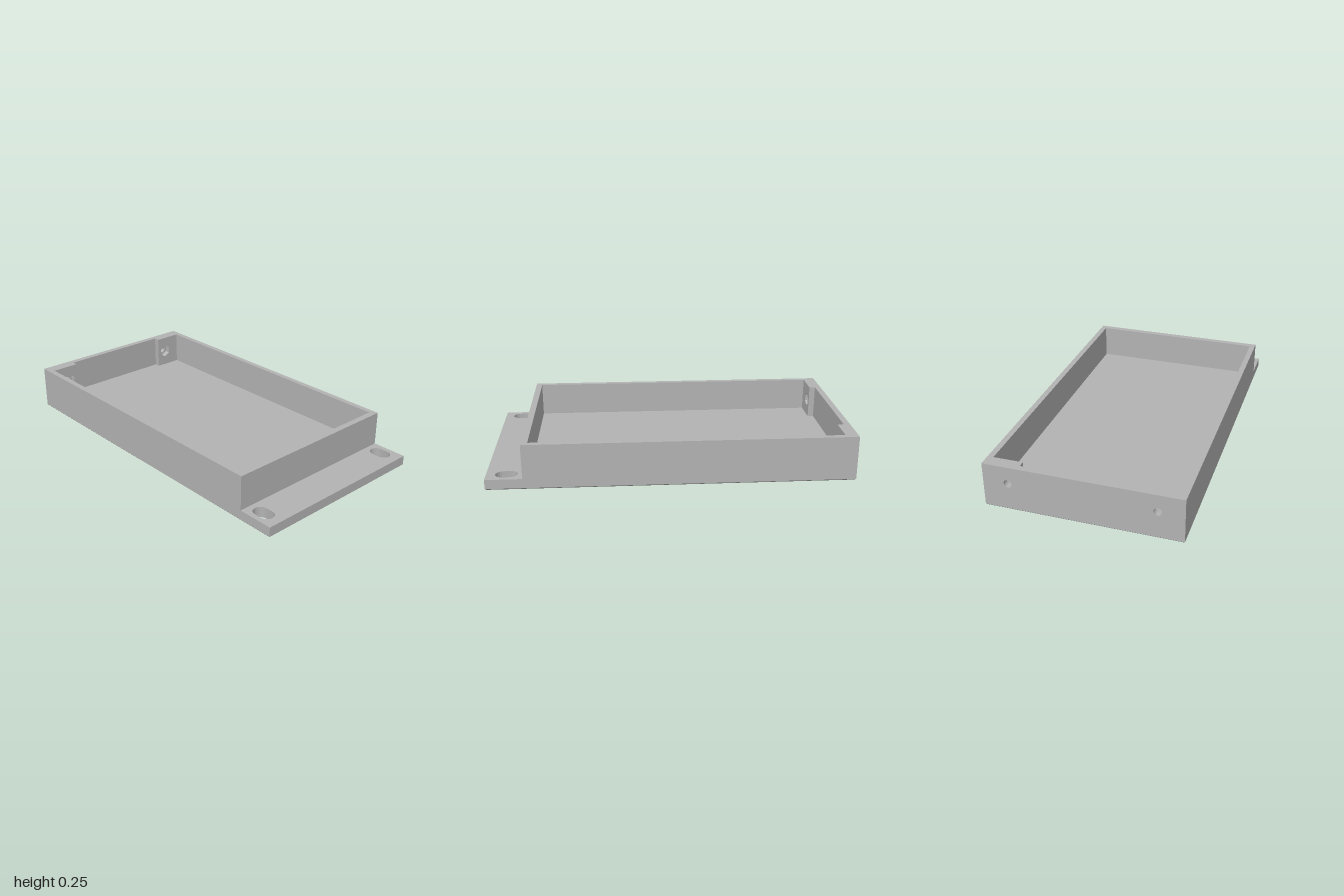
import * as THREE from 'three';
import { toCreasedNormals } from 'three/addons/utils/BufferGeometryUtils.js';

const HALF_W = 0.527, INNER_W = 0.495, NOTCH_W = 0.333;
const FLOOR = 0.06, TOP = 0.253, CHAMFER = 0.007;
const WALL_END = 0.8, PLATE_X = -0.965, BLOCK_X = -0.93;
const HOLE_Z = 0.391, HOLE_Y = (FLOOR + TOP) / 2;

const polygon = (points) => new THREE.Shape(points.map(([x, y]) => new THREE.Vector2(x, y)));
const rect = (x0, y0, x1, y1) => polygon([[x0, y0], [x1, y0], [x1, y1], [x0, y1]]);

function extrude(shape, depth, steps = 1) {
  return new THREE.ExtrudeGeometry(shape, { depth, steps, bevelEnabled: false, curveSegments: 16 });
}

function slot(cx, cy, halfLength, r) {
  const d = halfLength - r;
  const path = new THREE.Path();
  path.moveTo(cx - d, cy - r);
  path.lineTo(cx + d, cy - r);
  path.absarc(cx + d, cy, r, -Math.PI / 2, Math.PI / 2, false);
  path.lineTo(cx - d, cy + r);
  path.absarc(cx - d, cy, r, Math.PI / 2, Math.PI * 1.5, false);
  return path;
}

export function createModel() {
  const model = new THREE.Group();
  const grey = new THREE.MeshStandardMaterial({ color: 0xb3b3b3 });
  grey.name = 'grey';

  const add = (name, geometry) => {
    const mesh = new THREE.Mesh(toCreasedNormals(geometry, 0.5), grey);
    mesh.name = name;
    model.add(mesh);
  };

  // Base plate with two mounting slots and a small chamfer round the underside
  const baseShape = rect(-1, -HALF_W, 1, HALF_W);
  for (const s of [-1, 1]) baseShape.holes.push(slot(0.89, s * 0.458, 0.06, 0.04));
  const base = extrude(baseShape, FLOOR, 2).rotateX(-Math.PI / 2);
  const pos = base.attributes.position;
  for (let i = 0; i < pos.count; i++) {
    const x = pos.getX(i), y = pos.getY(i), z = pos.getZ(i);
    if (y > 0.01 && y < FLOOR - 0.01) pos.setY(i, CHAMFER);
    if (y < 0.01) {
      if (Math.abs(x) > 0.99) pos.setX(i, x - Math.sign(x) * CHAMFER);
      if (Math.abs(z) > 0.52) pos.setZ(i, z - Math.sign(z) * CHAMFER);
    }
  }
  base.computeVertexNormals();
  add('basePlate', base);

  // Front, back and flange-side walls as one U
  const inner = WALL_END - 0.035;
  const walls = polygon([
    [PLATE_X, -HALF_W], [WALL_END, -HALF_W], [WALL_END, HALF_W], [PLATE_X, HALF_W],
    [PLATE_X, INNER_W], [inner, INNER_W], [inner, -INNER_W], [PLATE_X, -INNER_W],
  ]);
  add('sideWalls', extrude(walls, TOP - FLOOR).rotateX(-Math.PI / 2).translate(0, FLOOR, 0));

  // End wall with two round screw holes
  const end = rect(-HALF_W, FLOOR, HALF_W, TOP);
  for (const s of [-1, 1]) {
    end.holes.push(new THREE.Path().absarc(s * HOLE_Z, HOLE_Y, 0.022, 0, Math.PI * 2, true));
  }
  add('endWall', extrude(end, PLATE_X + 1).rotateY(Math.PI / 2).translate(-1, 0, 0));

  // Thick corner blocks with hexagonal nut recesses
  for (const s of [-1, 1]) {
    const a = s * NOTCH_W, b = s * INNER_W;
    const block = rect(Math.min(a, b), FLOOR, Math.max(a, b), TOP);
    const hex = [];
    for (let i = 0; i < 6; i++) {
      const t = Math.PI / 6 + i * Math.PI / 3;
      hex.push(new THREE.Vector2(s * HOLE_Z + 0.04 * Math.cos(t), HOLE_Y + 0.04 * Math.sin(t)));
    }
    block.holes.push(new THREE.Path(hex));
    add(s < 0 ? 'frontNutBlock' : 'backNutBlock',
      extrude(block, BLOCK_X - PLATE_X).rotateY(Math.PI / 2).translate(PLATE_X, 0, 0));
  }
  return model;
}
